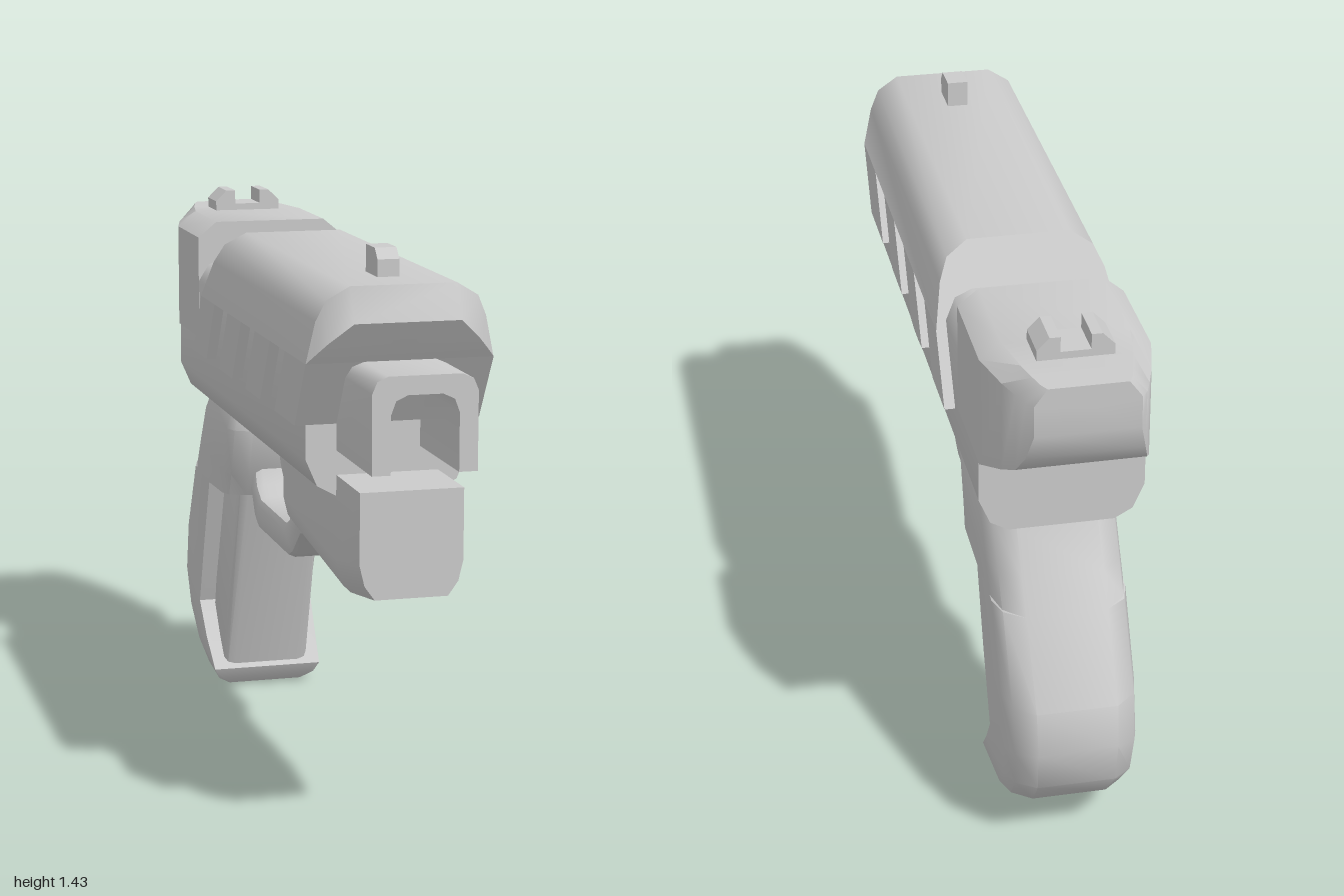
import * as THREE from 'three';
import { toCreasedNormals } from 'three/addons/utils/BufferGeometryUtils.js';

const material = new THREE.MeshStandardMaterial({ color: 0xcccccc });

function part(name, geometry, crease = 0.75) {
  const mesh = new THREE.Mesh(toCreasedNormals(geometry, crease), material);
  mesh.name = name;
  return mesh;
}

// Skin closed rings of [x, y, z] points, cap both ends, face outwards
function loft(rings) {
  const n = rings[0].length;
  const points = rings.flat();
  const index = [];
  for (let r = 0; r < rings.length - 1; r++) {
    for (let i = 0; i < n; i++) {
      const j = (i + 1) % n, a = r * n, b = a + n;
      index.push(a + i, a + j, b + j, a + i, b + j, b + i);
    }
  }
  for (const [ring, start, last] of [[rings[0], 0, false], [rings.at(-1), (rings.length - 1) * n, true]]) {
    const c = points.length;
    points.push([0, 1, 2].map(k => ring.reduce((s, p) => s + p[k], 0) / n));
    for (let i = 0; i < n; i++) {
      const a = start + i, b = start + (i + 1) % n;
      if (last) index.push(c, a, b); else index.push(c, b, a);
    }
  }
  const v = points.map(p => new THREE.Vector3(...p));
  let volume = 0;
  for (let i = 0; i < index.length; i += 3) {
    volume += v[index[i]].dot(v[index[i + 1]].clone().cross(v[index[i + 2]]));
  }
  if (volume < 0) index.reverse();
  const g = new THREE.BufferGeometry().setFromPoints(v);
  g.setIndex(index);
  return g;
}

// Complete a half section (x > 0, listed bottom to top) with its mirror
const mirror = half => [...half, ...half.map(([x, ...rest]) => [-x, ...rest]).reverse()];

const shapeOf = pts => new THREE.Shape(pts.map(p => new THREE.Vector2(...p)));

// Side outline of [z, y] points given a width across x
function sideExtrude(pts, halfWidth, bevel = 0) {
  const g = new THREE.ExtrudeGeometry(shapeOf(pts), {
    depth: 2 * (halfWidth - bevel), bevelEnabled: bevel > 0, bevelSize: bevel,
    bevelThickness: bevel, bevelOffset: -bevel, bevelSegments: 2,
  });
  return g.translate(0, 0, -(halfWidth - bevel)).rotateY(-Math.PI / 2);
}

// Front outline of [x, y] points drawn from z0 to z1
function frontExtrude(pts, z0, z1) {
  return new THREE.ExtrudeGeometry(shapeOf(pts), { depth: z1 - z0, bevelEnabled: false }).translate(0, 0, z0);
}

export function createModel() {
  const model = new THREE.Group();
  model.name = 'pistol';
  const add = (...args) => model.add(part(...args));

  // Frame running the length of the body
  const frameHalf = [[0.13, 0.84], [0.175, 0.865], [0.203, 0.93], [0.203, 1.2], [0.175, 1.245], [0.13, 1.26]];
  add('frame', loft([0.69, -0.745].map(z => mirror(frameHalf).map(([x, y]) => [x, y, z]))));

  // Slide: slanted back, bevelled and undercut nose
  const back = y => -0.225 - (1.363 - y) * 0.65;
  const slideHalf = [[0.23, 1.18], [0.208, 1.28], [0.185, 1.33], [0.13, 1.363]];
  const noseOuter = [0.793, 0.8, 0.81, 0.82];
  const noseInner = [[0.23, 1.18, 0.795], [0.208, 1.205, 0.812], [0.185, 1.23, 0.828], [0.13, 1.28, 0.86]];
  add('slide', loft([
    mirror(slideHalf.map(([x, y]) => [x, y, back(y)])),
    mirror(slideHalf.map(([x, y], i) => [x, y, noseOuter[i]])),
    mirror(noseInner),
  ]));

  // Slanted teeth along the lower edge of the slide
  for (const [z0, z1] of [[0.69, 0.49], [0.34, 0.18], [0.03, -0.125], [-0.28, -0.447]]) {
    add('slideTooth', sideExtrude([[z0, 1.015], [z0 + 0.105, 1.18], [z1 + 0.105, 1.18], [z1, 1.015]], 0.23));
  }

  // Rear block, tapering to the back
  const rearRings = [[-0.49, 0.204, 1.04], [-0.76, 0.204, 1.04], [-0.88, 0.175, 1.093],
    [-0.94, 0.155, 1.125], [-0.98, 0.14, 1.175], [-1, 0.125, 1.24]];
  add('rearBlock', loft(rearRings.map(([z, w, bottom]) =>
    mirror([[w, bottom, z], [w, 1.32, z], [w * 0.75, 1.362, z]]))));

  // Barrel: arch-shaped channel open below
  add('barrel', frontExtrude([
    ...[[0.127, 0.95], [0.127, 1.14], [0.115, 1.168], [0.088, 1.18], [-0.088, 1.18], [-0.115, 1.168], [-0.127, 1.14], [-0.127, 0.95]],
    ...[[-0.082, 0.95], [-0.082, 1.09], [-0.07, 1.122], [-0.042, 1.135], [0.042, 1.135], [0.07, 1.122], [0.082, 1.09], [0.082, 0.95]],
  ], 0.6, 1));

  // Block under the barrel
  add('underBarrelBlock', loft([[0.9, 0.63], [0.69, 0.597], [0.62, 0.597], [0.165, 0.64]].map(([z, b]) =>
    mirror([[0.09, b, z], [0.115, b + 0.035, z], [0.127, b + 0.085, z], [0.127, 0.89, z]]))));

  // Trigger guard and trigger
  add('triggerGuard', sideExtrude([
    [0.26, 0.64], [0.21, 0.625], [0.13, 0.56], [0.085, 0.54], [-0.25, 0.54], [-0.285, 0.56], [-0.32, 0.615], [-0.4, 0.62],
    [-0.4, 0.76], [-0.3, 0.74], [-0.265, 0.66], [-0.22, 0.635], [0.06, 0.635], [0.095, 0.65], [0.165, 0.755], [0.26, 0.78],
  ], 0.1, 0.025));
  add('trigger', sideExtrude([
    [-0.11, 0.86], [-0.112, 0.83], [-0.138, 0.78], [-0.138, 0.74], [-0.107, 0.695], [-0.155, 0.695],
    [-0.19, 0.73], [-0.22, 0.78], [-0.28, 0.78], [-0.28, 0.86],
  ], 0.045));

  // Grip shell rows: front z, front y, back z, back y, half width, front rounding
  const gripRows = [
    [-0.26, 0.865, -0.69, 0.86, 0.15, 0.07], [-0.245, 0.815, -0.7, 0.81, 0.168, 0.07],
    [-0.29, 0.68, -0.77, 0.71, 0.168, 0.07], [-0.325, 0.62, -0.82, 0.63, 0.168, 0.05],
    [-0.54, 0.615, -0.82, 0.63, 0.168, 0], [-0.615, 0.42, -0.945, 0.43, 0.168, 0],
    [-0.69, 0.23, -0.963, 0.32, 0.166, 0], [-0.62, 0.14, -0.945, 0.21, 0.162, 0],
    [-0.54, 0.06, -0.87, 0.12, 0.155, 0], [-0.555, 0.03, -0.76, 0.05, 0.14, 0],
    [-0.575, 0.008, -0.65, 0.002, 0.105, 0],
  ];
  add('gripShell', loft(gripRows.map(([zf, yf, zb, yb, w, r]) => {
    const length = Math.hypot(zb - zf, yb - yf);
    const round = Math.min(0.12, length * 0.35);
    const at = (x, d) => [x, yf + (yb - yf) * d / length, zf + (zb - zf) * d / length];
    return mirror([at(w * 0.65, 0), at(w * 0.92, r * 0.4), at(w, r), at(w, length - round),
      at(w * 0.9, length - round * 0.4), at(w * 0.6, length)]);
  })));

  // Narrower grip core showing in the front recess
  add('gripCore', sideExtrude([[-0.365, 0.66], [-0.56, 0.045], [-0.72, 0.2], [-0.6, 0.66]], 0.122, 0.03));

  // Sights
  add('frontSight', sideExtrude([[0.69, 1.35], [0.69, 1.405], [0.665, 1.43], [0.588, 1.43], [0.588, 1.35]], 0.027));
  add('rearSight', frontExtrude(mirror([
    [0.092, 1.35], [0.092, 1.388], [0.062, 1.418], [0.036, 1.418], [0.036, 1.38]]), -0.868, -0.762));

  return model;
}
